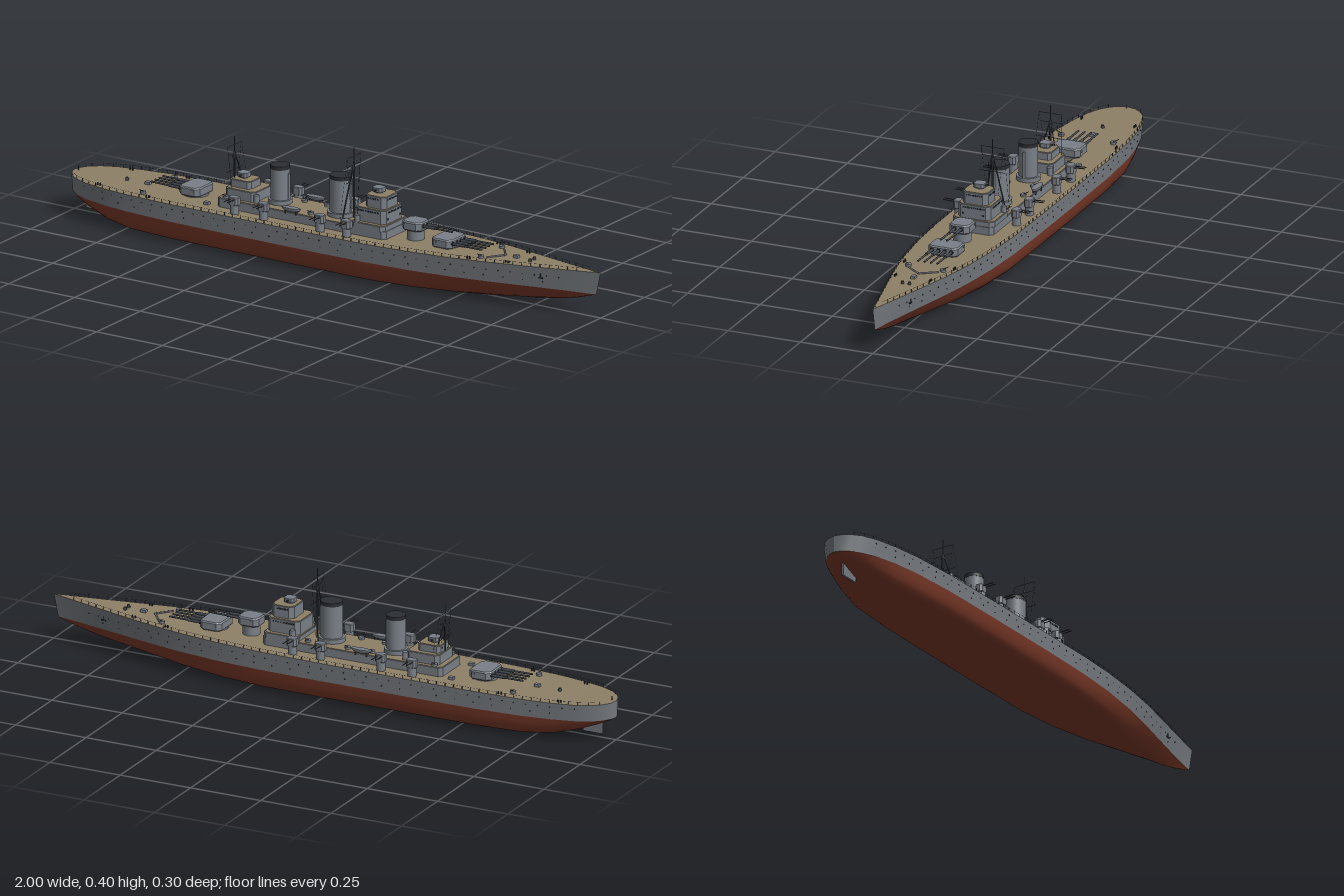
import * as THREE from 'three';
import { mergeGeometries } from 'three/addons/utils/BufferGeometryUtils.js';

const mat = (name, color, side = THREE.FrontSide) => {
  const m = new THREE.MeshStandardMaterial({ color, side });
  m.name = name;
  return m;
};

// x, deck half-breadth, waterline half-breadth, keel height, deck height, vee (0 full, 1 sharp)
const STATIONS = [
  [-1, 0, 0, 0.075, 0.131, 0.3], [-0.994, 0.026, 0.02, 0.073, 0.131, 0.3], [-0.98, 0.048, 0.04, 0.066, 0.131, 0.3],
  [-0.95, 0.074, 0.066, 0.053, 0.131, 0.25], [-0.9, 0.096, 0.09, 0.034, 0.131, 0.2], [-0.82, 0.114, 0.11, 0.012, 0.131, 0.1],
  [-0.72, 0.127, 0.125, 0.002, 0.132, 0], [-0.55, 0.135, 0.135, 0, 0.133, 0], [-0.3, 0.137, 0.137, 0, 0.134, 0],
  [0, 0.137, 0.137, 0, 0.135, 0], [0.2, 0.135, 0.134, 0, 0.136, 0], [0.35, 0.127, 0.124, 0, 0.138, 0.1],
  [0.5, 0.11, 0.104, 0.002, 0.14, 0.3], [0.62, 0.089, 0.08, 0.009, 0.142, 0.5], [0.74, 0.062, 0.052, 0.022, 0.144, 0.7],
  [0.84, 0.038, 0.029, 0.037, 0.146, 0.85], [0.92, 0.019, 0.013, 0.053, 0.148, 1], [1, 0, 0, 0.075, 0.15, 1],
];
const WL = 0.075;
const stemX = x => (x > 0.84 ? x - 0.016 * (x - 0.84) / 0.16 : x);

// Interpolated station value at x
function at(x, col) {
  let i = 0;
  while (i < STATIONS.length - 2 && STATIONS[i + 1][0] < x) i++;
  const a = STATIONS[i], b = STATIONS[i + 1];
  return THREE.MathUtils.lerp(a[col], b[col], (x - a[0]) / (b[0] - a[0]));
}

// Skin over rows of points, one row per station
function loft(rowOf) {
  const rows = STATIONS.map(rowOf), n = rows[0].length, idx = [];
  for (let i = 0; i < rows.length - 1; i++) for (let j = 0; j < n - 1; j++) {
    const a = i * n + j, b = a + n;
    idx.push(a, a + 1, b, a + 1, b + 1, b);
  }
  const g = new THREE.BufferGeometry();
  g.setAttribute('position', new THREE.Float32BufferAttribute(rows.flat(2), 3));
  g.setIndex(idx);
  g.computeVertexNormals();
  return g;
}

const box = (w, h, d, x, y, z) => new THREE.BoxGeometry(w, h, d).translate(x, y, z);
const cyl = (r0, r1, y0, y1, x, z, n = 20) =>
  new THREE.CylinderGeometry(r1, r0, y1 - y0, n).translate(x, (y0 + y1) / 2, z);
function strut(a, b, r, n = 6) {
  const p = new THREE.Vector3(...a), q = new THREE.Vector3(...b), d = q.clone().sub(p);
  const turn = new THREE.Quaternion().setFromUnitVectors(new THREE.Vector3(0, 1, 0), d.clone().normalize());
  return new THREE.CylinderGeometry(r, r, d.length(), n).applyQuaternion(turn).translate(...p.add(q).multiplyScalar(0.5).toArray());
}
// Upright block with chamfered corners
function block(x0, x1, hz, y0, y1, c = 0.012, bevel = 0) {
  x0 += bevel; x1 -= bevel; hz -= bevel;
  const s = new THREE.Shape([[x0 + c, -hz], [x1 - c, -hz], [x1, c - hz], [x1, hz - c], [x1 - c, hz], [x0 + c, hz], [x0, hz - c], [x0, c - hz]]
    .map(p => new THREE.Vector2(...p)));
  return new THREE.ExtrudeGeometry(s, {
    depth: y1 - y0 - 2 * bevel, bevelEnabled: bevel > 0, bevelSize: bevel, bevelThickness: bevel, bevelSegments: 1,
  }).rotateX(-Math.PI / 2).translate(0, y0 + bevel, 0);
}

export function createModel() {
  const ship = new THREE.Group();
  ship.name = 'warship';
  const grey = mat('hull grey', 0x74787d), steel = mat('superstructure grey', 0x7a8088), wood = mat('deck planking', 0x8e8067),
    red = mat('bottom red', 0x7c3a29), dark = mat('dark metal', 0x2b2e33), gun = mat('gun metal', 0x43474e);
  const add = (name, material, geos, parent = ship) => {
    const clean = [geos].flat().map(g => {
      const f = g.index ? g.toNonIndexed() : g;
      f.deleteAttribute('uv');
      return f;
    });
    const m = new THREE.Mesh(mergeGeometries(clean), material);
    m.name = name;
    parent.add(m);
    return m;
  };
  const both = [1, -1];

  // Hull: red bottom, grey sides, planked deck
  const full = [[1, 1], [0.975, 0.72], [0.935, 0.45], [0.87, 0.25], [0.78, 0.11], [0.5, 0.01], [0, 0]];
  const sharp = [1, 0.78, 0.56, 0.37, 0.22, 0.1, 0];
  add('hullBottom', red, loft(([x, , w, k, , v]) => {
    const side = full.map(([f, h], i) => [stemX(x), k + (WL - k) * THREE.MathUtils.lerp(h, 1 - i / 6, v * 0.7), w * THREE.MathUtils.lerp(f, sharp[i], v)]);
    return [...side, ...side.slice(0, -1).reverse().map(([a, b, c]) => [a, b, -c])];
  }));
  add('hullSides', grey, both.map(s => loft(([x, b, w, , d]) => {
    const strip = [[x, d, s * b], [(x + stemX(x)) / 2, (d + WL) / 2, s * (b + w) / 2], [stemX(x), WL, s * w]];
    return s > 0 ? strip : strip.reverse();
  })));
  add('mainDeck', wood, loft(([x, b, , , d]) => [[x, d, -b], [x, d, b]]));
  add('rudder', grey, box(0.07, 0.045, 0.007, -0.918, 0.035, 0));

  // Deck-edge railings
  const rails = [];
  for (const s of both) for (let x = -0.97; x < 0.95; x += 0.03) {
    const p = [x, at(x, 4), s * (at(x, 1) - 0.002)], x2 = x + 0.03, q = [x2, at(x2, 4) + 0.01, s * (at(x2, 1) - 0.002)];
    rails.push(box(0.0015, 0.011, 0.0015, p[0], p[1] + 0.0055, p[2]), strut([p[0], p[1] + 0.01, p[2]], q, 0.0004, 4));
  }
  add('railings', gun, rails);

  // Portholes in two rows, and bow anchors
  const ports = [];
  for (const s of both) for (const [y, x0, x1, step] of [[0.117, -0.9, 0.9, 0.04], [0.096, -0.82, 0.84, 0.065]])
    for (let x = x0; x < x1; x += step) {
      const f = (y - WL) / (at(x, 4) - WL), z = THREE.MathUtils.lerp(at(x, 2), at(x, 1), f);
      ports.push(new THREE.CylinderGeometry(0.0023, 0.0023, 0.002, 8).rotateX(Math.PI / 2).translate(x, y, s * z));
    }
  add('portholes', dark, ports);
  add('anchors', dark, both.flatMap(s => [box(0.004, 0.016, 0.004, 0.8, 0.116, s * 0.043), box(0.016, 0.004, 0.005, 0.8, 0.109, s * 0.043)]));

  // Main gun turrets
  function mainTurret(name, x, y, hz, len, guns, dir, reach, base) {
    const t = new THREE.Group();
    t.name = name;
    add('barbette', steel, cyl(hz * 0.8, hz * 0.8, base - y, 0.002, 0, 0, 28), t);
    add('gunhouse', steel, block(-len / 2, len / 2, hz, 0, 0.03, 0.012, 0.004), t);
    add('rangefinder', steel, box(0.01, 0.007, hz * 2.08, -len * 0.25, 0.02, 0), t);
    const barrels = [], ports = [];
    for (let i = 0; i < guns; i++) {
      const z = (i - (guns - 1) / 2) * 0.022;
      barrels.push(strut([len / 2 - 0.005, 0.017, z], [len / 2 + reach, 0.018, z], 0.0032, 10),
        strut([len / 2 - 0.005, 0.017, z], [len / 2 + reach * 0.4, 0.0175, z], 0.0048, 10));
      ports.push(strut([len / 2 - 0.004, 0.017, z], [len / 2 + 0.002, 0.017, z], 0.007, 12));
    }
    add('barrels', gun, barrels, t);
    add('gunPorts', dark, ports, t);
    t.position.set(x, y, 0);
    if (dir < 0) t.rotation.y = Math.PI;
    ship.add(t);
  }
  mainTurret('foreTurret', 0.422, 0.14, 0.051, 0.078, 4, 1, 0.11, 0.13);
  mainTurret('raisedTurret', 0.297, 0.17, 0.035, 0.074, 2, 1, 0.11, 0.13);
  mainTurret('aftTurret', -0.537, 0.138, 0.051, 0.078, 4, -1, 0.11, 0.13);
  add('breakwater', steel, both.map(s => strut([0.6, 0.143, s * 0.05], [0.64, 0.145, 0], 0.003)));

  // Stepped superstructure: grey walls, planked tops
  const tier = (name, x0, x1, hz, y0, y1, c) => {
    add(name, steel, block(x0, x1, hz, y0, y1, c));
    add(name + 'Deck', wood, block(x0 + 0.003, x1 - 0.003, hz - 0.003, y1, y1 + 0.002, c));
  };
  tier('deckhouse', -0.415, 0.225, 0.071, 0.13, 0.162, 0.012);
  tier('bridgeBase', 0.095, 0.222, 0.073, 0.162, 0.178, 0.014);
  tier('bridgeMiddle', 0.1, 0.215, 0.057, 0.178, 0.224, 0.014);
  tier('bridgeUpper', 0.128, 0.208, 0.044, 0.224, 0.264, 0.014);
  tier('aftHouseLower', -0.395, -0.28, 0.055, 0.162, 0.195, 0.012);
  tier('aftHouseUpper', -0.39, -0.31, 0.036, 0.195, 0.22, 0.01);

  // Bridge windows
  const panes = [];
  for (const [x0, x1, hz, y] of [[0.1, 0.215, 0.057, 0.216], [0.128, 0.208, 0.044, 0.256]]) {
    for (let z = -hz + 0.018; z <= hz - 0.017; z += 0.0072) panes.push(box(0.002, 0.005, 0.005, x1, y, z));
    for (let x = x0 + 0.018; x <= x1 - 0.017; x += 0.009) for (const s of both) panes.push(box(0.006, 0.005, 0.002, x, y, s * hz));
  }
  for (const z of [-0.034, 0.034]) panes.push(strut([0.214, 0.195, z], [0.216, 0.195, z], 0.004, 10));
  add('bridgeWindows', dark, panes);

  // Fire-control directors
  for (const [x, y] of [[0.158, 0.265], [-0.355, 0.221]]) {
    add('directorBase', steel, cyl(0.013, 0.013, y, y + 0.008, x, 0));
    add('directorHead', steel, block(x - 0.018, x + 0.018, 0.018, y + 0.005, y + 0.019, 0.007));
    add('directorArm', gun, box(0.006, 0.005, 0.05, x, y + 0.012, 0));
  }
  add('sideDirectors', steel, both.flatMap(s => [cyl(0.009, 0.009, 0.178, 0.2, 0.118, s * 0.064), cyl(0.009, 0.009, 0.16, 0.19, -0.275, s * 0.05)]));

  // Funnels with dark caps and hollow-looking mouths
  for (const [x, top, rx, rz] of [[0.012, 0.298, 0.036, 0.033], [-0.218, 0.29, 0.031, 0.031]]) {
    const oval = (r, y0, y1) => cyl(r, r, y0, y1, 0, 0, 32).scale(rx, 1, rz).translate(x, 0, 0);
    add('funnel', steel, [oval(1, 0.15, top - 0.012), oval(1.25, 0.15, 0.178)]);
    add('funnelCap', dark, oval(1.02, top - 0.012, top));
    add('funnelPipe', steel, cyl(0.004, 0.004, 0.16, top - 0.025, x + rx + 0.003, 0, 8));
  }

  // Twin secondary turrets along both sides
  for (const s of both) for (const x of [-0.325, -0.215, 0, 0.1]) {
    const t = new THREE.Group();
    t.name = 'secondaryTurret';
    add('pedestal', steel, cyl(0.014, 0.014, 0.13, 0.165, 0, 0), t);
    add('gunhouse', steel, block(-0.018, 0.018, 0.014, 0.163, 0.19, 0.006, 0.002), t);
    add('barrels', gun, [-0.007, 0.007].map(dx => strut([dx, 0.183, 0.01], [dx, 0.185, 0.051], 0.0018)), t);
    t.position.set(x, 0, s * 0.1);
    if (s < 0) t.rotation.y = Math.PI;
    ship.add(t);
  }

  // Ship's boats on chocks
  for (const s of both) {
    add('boat', steel, new THREE.SphereGeometry(1, 16, 8, 0, Math.PI * 2, Math.PI / 2, Math.PI / 2).scale(0.036, 0.014, 0.012).translate(-0.13, 0.18, s * 0.07));
    add('boatCover', steel, cyl(1, 1, 0.178, 0.181, 0, 0).scale(0.036, 1, 0.012).translate(-0.13, 0, s * 0.07));
    add('boatChocks', gun, [-0.15, -0.11].map(x => box(0.004, 0.02, 0.012, x, 0.169, s * 0.07)));
  }

  // Light guns in open tubs
  const tubs = [[0.07, 0.05, 0.163], [-0.07, 0.048, 0.163], [-0.155, 0.045, 0.163], [-0.385, 0.06, 0.163], [-0.68, 0.09, 0.132], [0.585, 0.06, 0.141]];
  for (const s of both) for (const [x, z, y] of tubs) {
    add('lightGunTub', steel, cyl(0.009, 0.01, y, y + 0.009, x, s * z, 14));
    add('lightGun', gun, [-0.002, 0.002].map(d => strut([x + d, y + 0.008, s * z], [x + d, y + 0.018, s * (z + 0.018)], 0.001, 5)));
  }

  // Tripod masts with yards and stays
  for (const [x, base, top, back] of [[0.062, 0.16, 0.397, -0.02], [-0.392, 0.16, 0.352, 0.025]]) {
    const yard = top - 0.028, head = top - 0.05;
    add('mast', gun, [strut([x, base, 0], [x, head, 0], 0.003, 8), strut([x, head, 0], [x, top, 0], 0.0013),
      ...both.map(s => strut([x + back, base, s * 0.036], [x, head, 0], 0.002)),
      strut([x, yard, -0.039], [x, yard, 0.039], 0.0009), strut([x, yard - 0.03, -0.036], [x, yard - 0.03, 0.036], 0.0009),
      strut([x, head - 0.06, -0.045], [x, head - 0.06, 0.045], 0.001),
      cyl(0.007, 0.007, head - 0.02, head - 0.016, x, 0, 12)]);
    add('stays', gun, both.flatMap(s => [strut([x, yard, s * 0.039], [x, base + 0.04, s * 0.018], 0.0004, 4),
      strut([x, yard, s * 0.039], [x + back, base, s * 0.05], 0.0004, 4)]));
  }

  // Deck fittings: capstans, hatches, bollards, flagstaffs
  add('capstans', gun, [[0.74, 0.012], [0.74, -0.012], [-0.8, 0]].map(([x, z]) => cyl(0.006, 0.005, 0.13, at(x, 4) + 0.009, x, z, 12)));
  add('hatches', steel, [[0.68, 0], [-0.72, 0], [-0.45, 0.07], [-0.45, -0.07]].map(([x, z]) => box(0.018, 0.012, 0.014, x, at(x, 4) + 0.003, z)));
  add('bollards', dark, both.flatMap(s => [-0.85, -0.65, 0.55, 0.68].flatMap(x => [0, 0.01].map(d =>
    cyl(0.0025, 0.0025, 0.13, at(x, 4) + 0.008, x + d, s * (at(x, 1) - 0.015), 8)))));
  add('flagstaffs', gun, [strut([0.975, 0.146, 0], [0.975, 0.152, 0], 0.001), strut([-0.985, 0.13, 0], [-0.985, 0.145, 0], 0.001)]);
  return ship;
}
